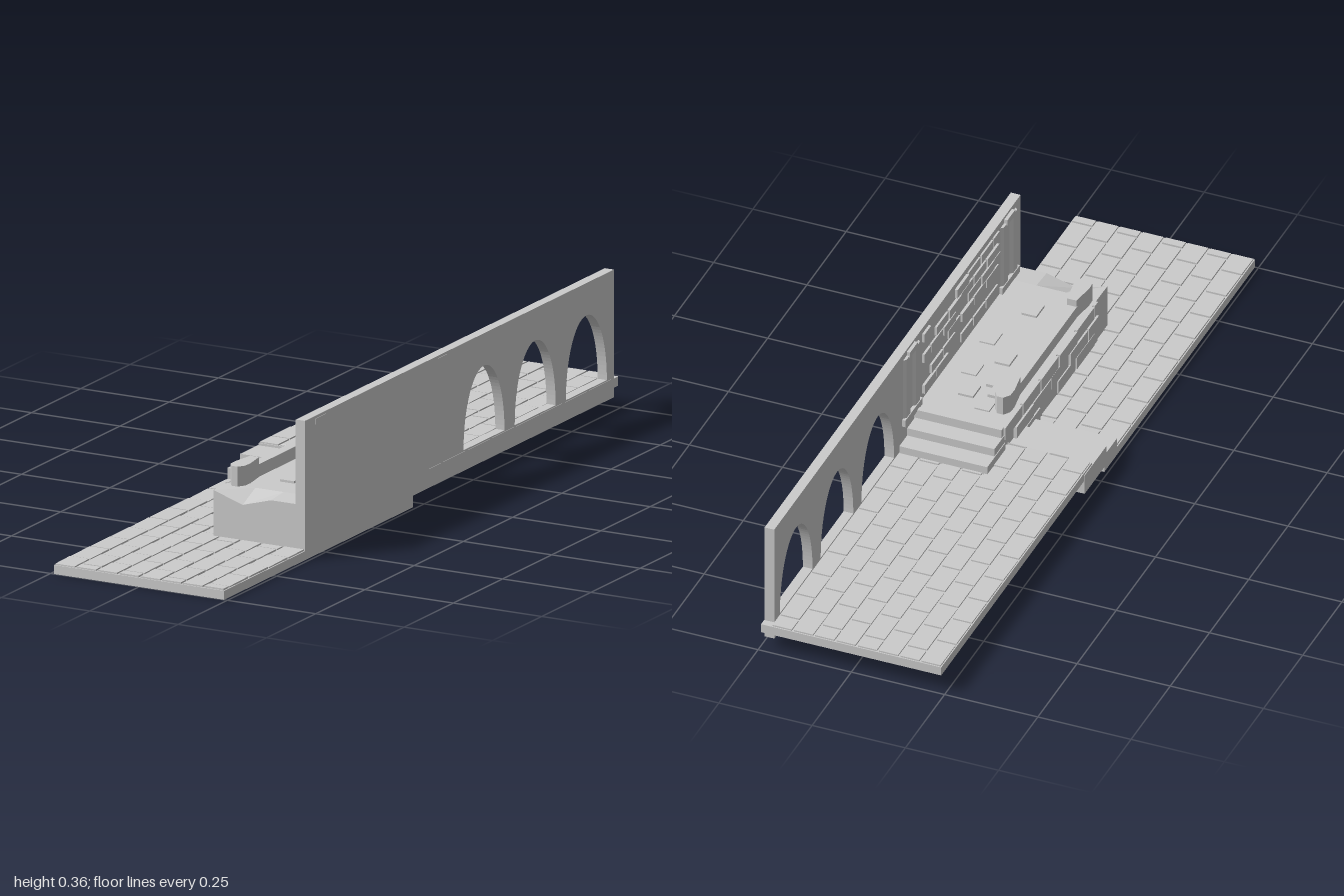
import * as THREE from 'three';
import { mergeGeometries } from 'three/addons/utils/BufferGeometryUtils.js';

const material = new THREE.MeshStandardMaterial({ color: 0xcccccc, flatShading: true });

// Small seeded generator for the hand-laid look of the stones
let seed = 7;
const rand = () => (seed = (seed * 16807) % 2147483647) / 2147483647;

// Box from its low and high corners
function span(x0, x1, y0, y1, z0, z1) {
  return new THREE.BoxGeometry(x1 - x0, y1 - y0, z1 - z0)
    .translate((x0 + x1) / 2, (y0 + y1) / 2, (z0 + z1) / 2);
}

// Staggered paving slabs, each slightly tilted by shifting its top corners
function paving(x0, x1, z0, z1, y, top) {
  const tiles = [], cols = 8, w = (x1 - x0) / cols, len = 0.1, gap = 0.003;
  for (let i = 0; i < cols; i++) {
    const start = z0 - (i % 2) * len / 2;
    for (let z = start; z < z1 - 0.005; z += len) {
      const a = Math.max(z0, z), b = Math.min(z1, z + len);
      const tile = span(x0 + i * w + gap, x0 + (i + 1) * w - gap, y - 0.002, top, a + gap, b - gap);
      const p = tile.attributes.position, tilt = rand() * 0.002;
      for (let k = 0; k < p.count; k++) {
        if (p.getY(k) > y && p.getZ(k) > (a + b) / 2) p.setY(k, top - tilt);
      }
      tiles.push(tile);
    }
  }
  return mergeGeometries(tiles);
}

// Raised blocks on a vertical face, laid in courses between x0 and x1
function courses(x0, x1, y0, y1, z0, z1, rows, len, skip) {
  const blocks = [], h = (y1 - y0) / rows, g = 0.003;
  for (let r = 0; r < rows; r++) {
    for (let z = z0 - (r % 2) * len * 0.4; z < z1 - 0.01; z += len) {
      if (rand() < skip) continue;
      const inset = rand() * 0.5 * (x1 - x0);
      const a = Math.max(z, z0) + g, b = Math.min(z + len, z1) - g;
      const lo = x0 < 0 ? x0 + inset : x0 + inset;
      blocks.push(span(lo, x1 + 0.002, y0 + r * h + g, y0 + (r + 1) * h - g, a, b));
    }
  }
  return mergeGeometries(blocks);
}

// Long wall with three round-headed openings, drawn in (z, y)
function arcadeWall() {
  const s = new THREE.Shape();
  [[0.59, 0], [0.59, 0.358], [-0.98, 0.358], [-0.98, 0.03], [0.04, 0.03], [0.04, 0]]
    .forEach(([z, y], i) => (i ? s.lineTo(z, y) : s.moveTo(z, y)));
  for (const z of [-0.32, -0.58, -0.84]) {
    const hole = new THREE.Path();
    hole.moveTo(z + 0.104, 0.083);
    hole.absellipse(z, 0.083, 0.104, 0.192, 0, Math.PI, false);
    hole.closePath();
    s.holes.push(hole);
  }
  return new THREE.ExtrudeGeometry(s, { depth: 0.026, bevelEnabled: false, curveSegments: 24 })
    .rotateY(-Math.PI / 2).translate(0.241, 0, 0);
}

// Raised platform whose front edge is worn into a shallow dip
function platformBody() {
  const g = new THREE.BoxGeometry(0.235, 0.146, 0.55, 3, 1, 2).translate(0.1, 0.073, 0.315);
  const p = g.attributes.position;
  const xs = [-0.0175, 0.065, 0.145, 0.2175], ys = [0.145, 0.118, 0.141, 0.141];
  for (let i = 0; i < p.count; i++) {
    const col = Math.round((p.getX(i) + 0.0175) / 0.235 * 3);
    p.setX(i, xs[col]);
    if (Math.abs(p.getZ(i) - 0.315) < 0.01) p.setZ(i, 0.525);
    if (p.getY(i) > 0.1 && p.getZ(i) > 0.58) p.setY(i, ys[col]);
  }
  return g;
}

// Upright prism over an outline given as [x, z] points
function prism(points, y0, y1) {
  const s = new THREE.Shape(points.map(([x, z]) => new THREE.Vector2(x, -z)));
  return new THREE.ExtrudeGeometry(s, { depth: y1 - y0, bevelEnabled: false })
    .rotateX(-Math.PI / 2).translate(0, y0, 0);
}

export function createModel() {
  const model = new THREE.Group();
  const add = (name, geometry) => {
    const mesh = new THREE.Mesh(geometry, material);
    mesh.name = name;
    model.add(mesh);
  };

  // Lower and upper paved floors
  add('lowerFloor', span(-0.241, 0.241, 0, 0.023, 0.04, 1));
  add('lowerPaving', paving(-0.241, 0.241, 0.12, 1, 0.023, 0.028));
  add('upperFloor', span(-0.241, 0.242, 0.055, 0.079, -1, -0.04));
  add('upperPaving', paving(-0.241, 0.215, -1, -0.04, 0.079, 0.083));

  // Broad steps joining the two floors
  add('lowerStep', span(-0.243, -0.015, 0.018, 0.053, -0.09, 0.115));
  add('upperStep', span(-0.243, -0.015, 0.053, 0.073, -0.09, 0.05));

  // Arcade wall
  add('arcadeWall', arcadeWall());

  // Platform with its rear part, side stonework and loose slabs on top
  add('platform', platformBody());
  add('platformRear', span(-0.0175, 0.2175, 0.02, 0.146, -0.09, 0.041));
  add('platformStones', courses(-0.027, -0.0175, 0.028, 0.15, -0.08, 0.52, 3, 0.115, 0.2));
  const slabs = [[0.06, 0.0], [0.12, 0.04], [0.07, 0.1], [0.15, 0.13], [0.09, 0.2],
    [0.05, 0.06], [0.16, 0.27], [0.11, 0.42]];
  add('looseSlabs', mergeGeometries(slabs.map(([x, z], i) =>
    span(x - 0.02, x + 0.02, 0.14, 0.15 + (i % 3) * 0.002, z - 0.026, z + 0.026))));

  // Short flight climbing to the platform
  [0.103, 0.125, 0.149].forEach((y, i) =>
    add('platformStair', span(-0.024 + i * 0.002, 0.212, 0.06, y, -0.19 + i * 0.05, -0.075)));

  // Balustrade: low rail between two tapering end posts
  add('rail', prism([[-0.001, 0.05], [0.024, 0.05], [0.024, 0.46], [-0.001, 0.46]], 0.14, 0.178));
  for (const [z, d] of [[0.03, 1], [0.485, -1]]) {
    const outline = [[0.004, -0.052], [0.021, -0.052], [0.033, -0.035], [0.034, -0.01],
      [0.025, 0.05], [0, 0.05], [-0.009, -0.01], [-0.008, -0.035]];
    add('railPost', prism(outline.map(([x, dz]) => [x, z + d * dz]), 0.14, 0.197));
  }

  // Stone facing on the inner side of the wall
  add('wallStones', courses(0.207, 0.215, 0.16, 0.345, -0.04, 0.45, 6, 0.08, 0.15));

  // Paired pilasters with bevelled shafts and capping blocks
  for (const z of [-0.11, 0.51]) {
    for (const dz of [-0.03, 0.03]) {
      const w = 0.021;
      add('pilaster', prism([[0.217, z + dz - w], [0.217, z + dz + w], [0.208, z + dz + w * 0.6],
        [0.208, z + dz - w * 0.6]], 0.155, 0.34));
    }
    add('pilasterCap', span(0.206, 0.242, 0.335, 0.351, z - 0.025, z + 0.025));
    add('pilasterBase', span(0.206, 0.218, 0.145, 0.165, z - 0.055, z + 0.055));
  }

  return model;
}
